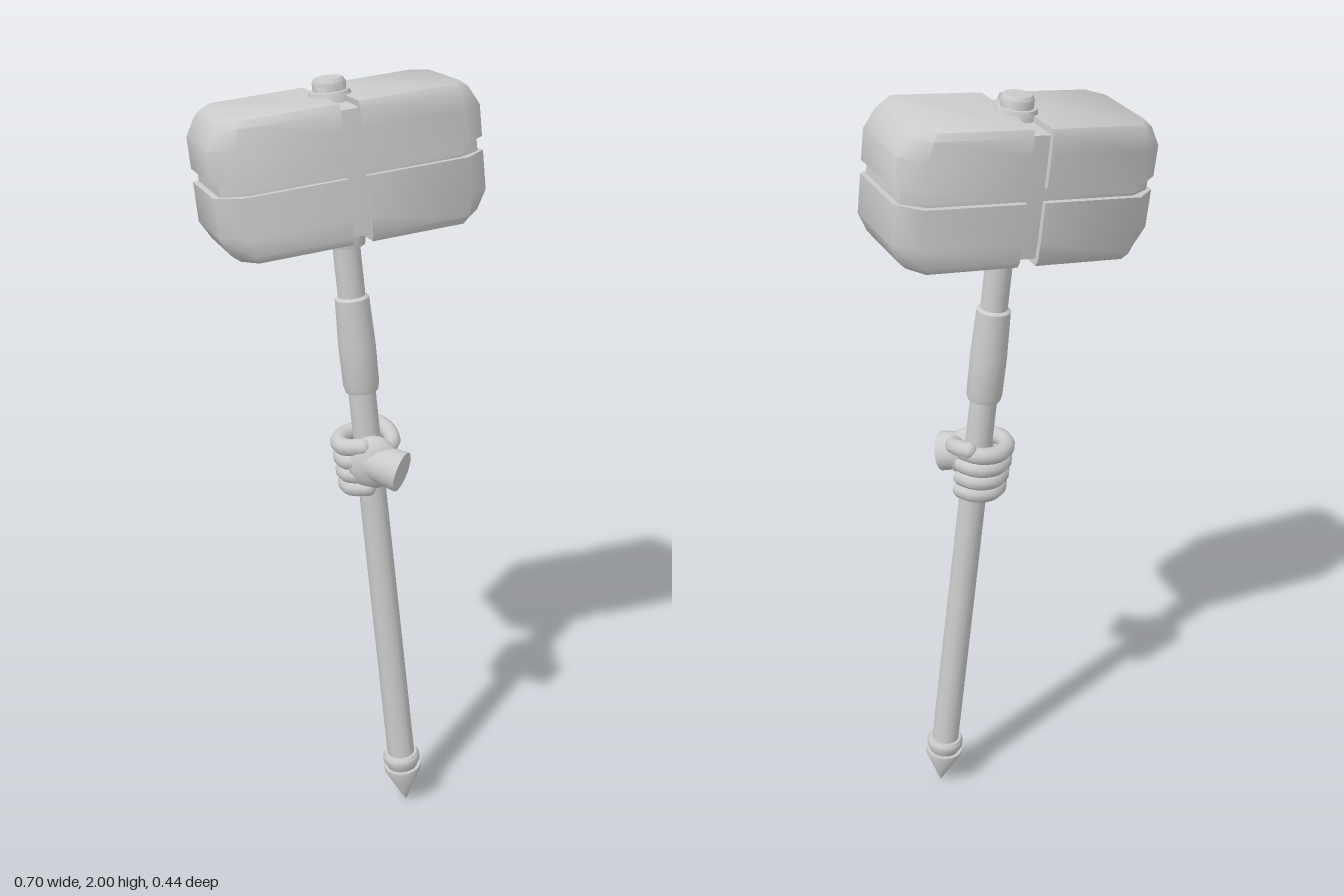
import * as THREE from 'three';
import { toCreasedNormals } from 'three/addons/utils/BufferGeometryUtils.js';

const material = new THREE.MeshStandardMaterial({ color: 0xcccccc, roughness: 0.8 });

function addMesh(parent, name, geometry) {
  const mesh = new THREE.Mesh(geometry, material);
  mesh.name = name;
  parent.add(mesh);
  return mesh;
}

// Turned part from [radius, height] pairs, keeping its edges crisp
function turned(points, sides = 20) {
  const profile = points.map(([r, y]) => new THREE.Vector2(r, y));
  return toCreasedNormals(new THREE.LatheGeometry(profile, sides), 0.6);
}

// One quarter of the head: half-octagon sections stacked upward,
// from the inner faces x0 and y0 to the chamfered outer end
function headQuarter(x0, y0, inset) {
  const levels = [
    // height, side length, end length, end half width, half width
    [y0, 0.272, 0.326, 0.1, 0.146],
    [0.1, 0.272, 0.326, 0.1, 0.146],
    [0.145, 0.262, 0.301, 0.098, 0.144],
    [0.161 - inset, 0.25, 0.282, 0.092, 0.136],
  ];
  const positions = [];
  const index = [];
  for (const [y, side, end, e, w] of levels) {
    const s = side - inset, l = end - inset, h = w - inset;
    const ring = [[x0, -h], [s, -h], [l, -e], [l, e], [s, h], [x0, h]];
    for (const [x, z] of ring) positions.push(x, y, z);
  }
  const n = 6;
  for (let k = 0; k < levels.length - 1; k++) {
    for (let i = 0; i < n; i++) {
      const j = (i + 1) % n, a = k * n, b = a + n;
      index.push(a + i, b + i, b + j, a + i, b + j, a + j);
    }
  }
  const top = (levels.length - 1) * n;
  for (let i = 1; i < n - 1; i++) {
    index.push(0, i, i + 1, top, top + i + 1, top + i);
  }
  const geometry = new THREE.BufferGeometry();
  geometry.setAttribute('position', new THREE.Float32BufferAttribute(positions, 3));
  geometry.setIndex(index);
  return toCreasedNormals(geometry, 0.9);
}

// Rounded tube through points, closed by a ball at each end
function digit(parent, name, points, radius) {
  const group = new THREE.Group();
  group.name = name;
  parent.add(group);
  const curve = new THREE.CatmullRomCurve3(points);
  addMesh(group, name + 'Body', new THREE.TubeGeometry(curve, 16, radius, 10));
  for (const end of [points[0], points[points.length - 1]]) {
    addMesh(group, name + 'End', new THREE.SphereGeometry(radius, 10, 8)).position.copy(end);
  }
}

function makeHead() {
  const head = new THREE.Group();
  head.name = 'head';
  head.position.y = 1.808;
  for (const lower of [false, true]) {
    for (const left of [false, true]) {
      const corner = new THREE.Group();
      corner.name = (lower ? 'lower' : 'upper') + (left ? 'Left' : 'Right') + 'Quarter';
      // Half turns put the same quarter on all four sides
      corner.rotation.set(lower ? Math.PI : 0, left ? 0 : Math.PI, 0);
      addMesh(corner, 'headBlock', headQuarter(0.023, lower ? 0.006 : 0.026, 0));
      addMesh(corner, 'headCore', headQuarter(0, 0, 0.014));
      head.add(corner);
    }
  }
  return head;
}

function makeHand(axis) {
  const hand = new THREE.Group();
  hand.name = 'hand';
  hand.position.set(0.058, 1.05, 0.059);
  hand.quaternion.setFromUnitVectors(new THREE.Vector3(0, 1, 0), axis);

  // Palm in front of the shaft
  const palm = addMesh(hand, 'palm', new THREE.SphereGeometry(1, 20, 14));
  palm.scale.set(0.066, 0.07, 0.042);
  palm.position.set(-0.018, 0.005, 0.045);
  palm.rotation.y = -0.55;

  // Wrist with a flat cut end
  const from = new THREE.Vector3(-0.025, 0.012, 0.035);
  const to = new THREE.Vector3(0.02, -0.015, 0.112);
  const wrist = addMesh(hand, 'wrist',
    new THREE.CylinderGeometry(0.052, 0.045, from.distanceTo(to), 18));
  wrist.position.copy(from).lerp(to, 0.5);
  wrist.quaternion.setFromUnitVectors(new THREE.Vector3(0, 1, 0), to.clone().sub(from).normalize());

  // Four fingers curling round the back of the shaft
  const bend = [[135, 0.058], [175, 0.07], [215, 0.068], [265, 0.063], [310, 0.06], [350, 0.056]];
  [-0.061, -0.024, 0.014, 0.053].forEach((y, k) => {
    const grow = 0.93 + 0.04 * k;
    const points = bend.map(([deg, r]) => {
      const a = THREE.MathUtils.degToRad(deg);
      return new THREE.Vector3(Math.cos(a) * r * grow, y, Math.sin(a) * r * grow);
    });
    digit(hand, 'finger' + (k + 1), points, 0.022);
  });

  // Thumb closing over the side
  digit(hand, 'thumb', [
    new THREE.Vector3(0.0, 0.03, 0.06),
    new THREE.Vector3(0.045, 0.042, 0.045),
    new THREE.Vector3(0.062, 0.056, 0.005),
    new THREE.Vector3(0.06, 0.066, -0.03),
  ], 0.021);
  return hand;
}

export function createModel() {
  const model = new THREE.Group();
  model.name = 'warHammer';

  // Leaning frame: y along the shaft, x along the head
  const axis = new THREE.Vector3(-0.0774, 0.994, -0.0764).normalize();
  const along = new THREE.Vector3(0.9636, 0.0955, 0.267).normalize();
  const across = along.clone().cross(axis).normalize();
  const hammer = new THREE.Group();
  hammer.name = 'hammer';
  hammer.quaternion.setFromRotationMatrix(
    new THREE.Matrix4().makeBasis(across.clone().cross(axis).negate(), axis, across));
  hammer.position.set(0.14, 0, 0.14);
  model.add(hammer);

  addMesh(hammer, 'pommelSpike', turned([[0, 0], [0.05, 0.105], [0.05, 0.118], [0, 0.118]]));
  addMesh(hammer, 'pommelRing', turned(
    [[0.04, 0.115], [0.043, 0.125], [0.05, 0.138], [0.05, 0.152], [0.044, 0.162], [0, 0.162]]));
  addMesh(hammer, 'shaft', turned([[0.037, 0.15], [0.033, 1.7]]));
  addMesh(hammer, 'gripSleeve', turned(
    [[0.03, 1.24], [0.041, 1.24], [0.045, 1.255], [0.046, 1.36], [0.042, 1.48], [0.03, 1.488]]));
  addMesh(hammer, 'collar', turned([[0.03, 1.612], [0.046, 1.612], [0.049, 1.63], [0.049, 1.68]]));
  addMesh(hammer, 'topCap', turned([
    [0.05, 1.94], [0.05, 1.97], [0.046, 1.978], [0.039, 1.979],
    [0.039, 1.998], [0.033, 2.007], [0, 2.007]]));
  hammer.add(makeHead());
  model.add(makeHand(axis));
  return model;
}
